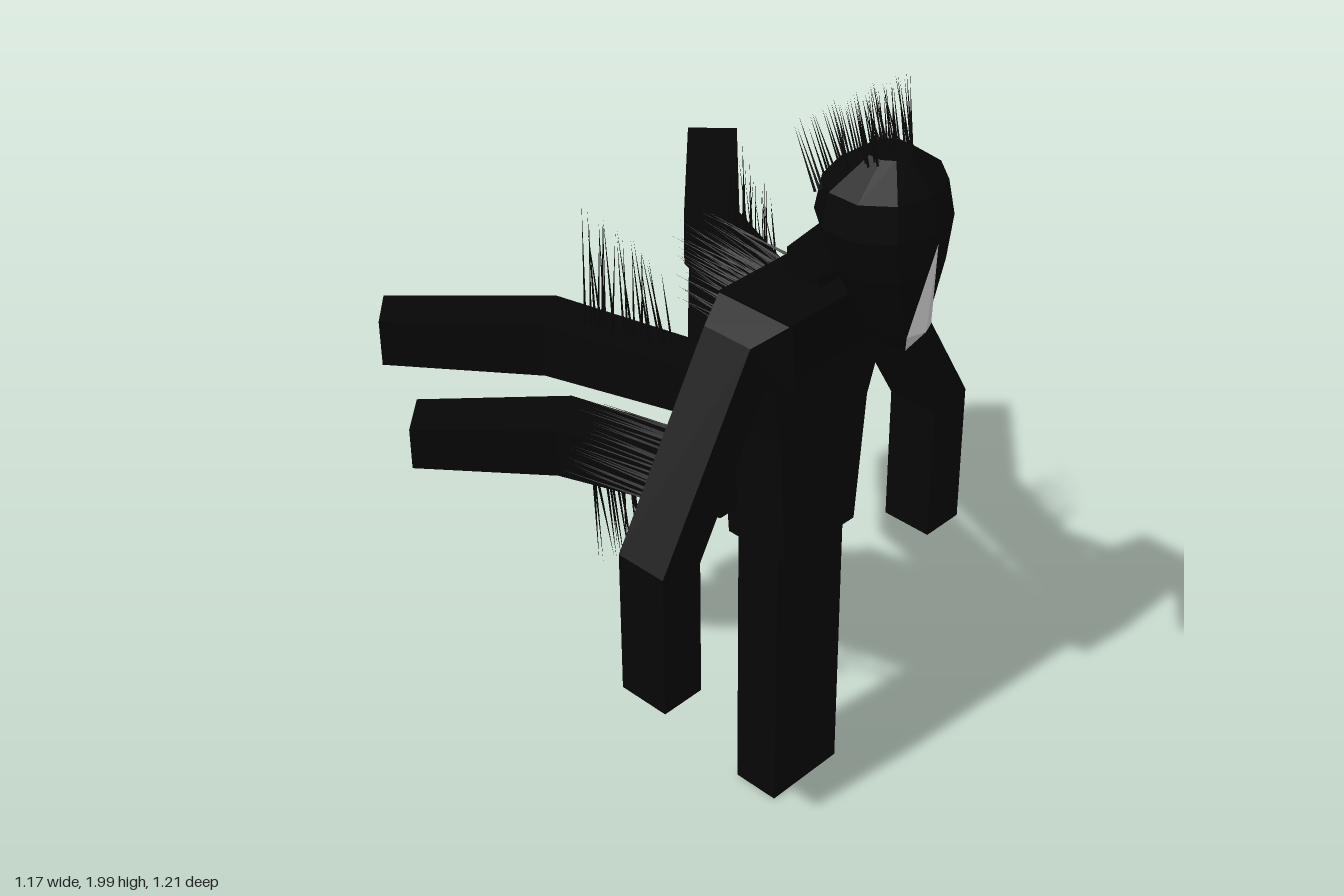
import * as THREE from 'three';
import { mergeGeometries } from 'three/addons/utils/BufferGeometryUtils.js';

const black = new THREE.MeshStandardMaterial({ color: 0x060606, flatShading: true });
const grey = new THREE.MeshStandardMaterial({ color: 0xcccccc, flatShading: true, side: THREE.DoubleSide });

let seed = 7;
const rand = () => (seed = (seed * 16807) % 2147483647) / 2147483647;
const jitter = (r) => (rand() * 2 - 1) * r;

// Closed solid through rings of equal point count; faces are turned outwards.
function loft(rings) {
  const n = rings[0].length;
  const p = rings.flat().map((c) => new THREE.Vector3(...c));
  const tris = [];
  for (let r = 0; r < rings.length - 1; r++) {
    for (let i = 0; i < n; i++) {
      const a = r * n + i, b = r * n + (i + 1) % n;
      tris.push([a, b, b + n], [a, b + n, a + n]);
    }
  }
  const last = (rings.length - 1) * n;
  for (let i = 1; i < n - 1; i++) {
    tris.push([0, i + 1, i], [last, last + i, last + i + 1]);
  }
  let volume = 0;
  for (const [a, b, c] of tris) volume += p[a].dot(p[b].clone().cross(p[c]));
  if (volume < 0) tris.forEach((t) => t.reverse());
  const g = new THREE.BufferGeometry().setFromPoints(tris.flat().map((i) => p[i]));
  g.computeVertexNormals();
  return g;
}

// Row of thin spikes: bases run from a to b, tips from c to d.
function spikes(a, b, c, d, count, spread) {
  const [va, vb, vc, vd] = [a, b, c, d].map((v) => new THREE.Vector3(...v));
  const parts = [];
  for (let i = 0; i < count; i++) {
    const t = i / (count - 1);
    const base = va.clone().lerp(vb, t).add(new THREE.Vector3(jitter(spread), 0, jitter(spread / 2)));
    const tip = vc.clone().lerp(vd, t).add(new THREE.Vector3(jitter(spread), 0, jitter(spread)));
    const dir = tip.sub(base).multiplyScalar(0.8 + 0.2 * rand());
    const len = dir.length();
    const g = new THREE.ConeGeometry(0.004, len, 4).translate(0, len / 2, 0);
    g.applyQuaternion(new THREE.Quaternion().setFromUnitVectors(new THREE.Vector3(0, 1, 0), dir.normalize()));
    parts.push(g.translate(base.x, base.y, base.z));
  }
  return mergeGeometries(parts);
}

export function createModel() {
  const model = new THREE.Group();
  const add = (name, geometry, material = black) => {
    const mesh = new THREE.Mesh(geometry, material);
    mesh.name = name;
    model.add(mesh);
  };

  // Lower body and torso
  add('lowerBody', new THREE.BoxGeometry(0.225, 0.8, 0.125).translate(0.003, 0.4, 0.218));
  const slab = ([y, w, front, back]) => [[-w, y, front], [w, y, front], [w, y, back], [-w, y, back]];
  add('torso', loft([
    [0.76, 0.12, 0.31, 0.135], [1.1, 0.145, 0.315, 0.135],
    [1.27, 0.18, 0.33, 0.145], [1.455, 0.185, 0.375, 0.165],
  ].map(slab)));

  // Bent neck: back and front edge of each section
  add('neck', loft([
    [1.43, 0.22, 1.43, 0.32], [1.52, 0.22, 1.48, 0.31],
    [1.64, 0.335, 1.55, 0.40], [1.7, 0.40, 1.6, 0.47],
  ].map(([yb, zb, yf, zf]) => [[-0.03, yb, zb], [0.07, yb, zb], [0.07, yf, zf], [-0.03, yf, zf]])));

  // Faceted head tapering to the chin: height, half width, front, back
  add('head', loft([
    [1.39, 0.025, 0.535, 0.48], [1.45, 0.07, 0.57, 0.445], [1.59, 0.128, 0.592, 0.355],
    [1.69, 0.153, 0.6, 0.32], [1.77, 0.138, 0.585, 0.335], [1.835, 0.05, 0.52, 0.42],
  ].map(([y, w, front, back]) => Array.from({ length: 10 }, (_, i) => {
    const a = i * Math.PI / 5;
    return [w * Math.sin(a), y, (front + back) / 2 + (front - back) / 2 * Math.cos(a)];
  }))));

  // Narrow kite-shaped face plate with a raised ridge
  const [top, left, right, ridge, chin] = [
    [0, 1.67, 0.606], [0.04, 1.445, 0.568], [-0.04, 1.445, 0.568], [0, 1.45, 0.587], [-0.01, 1.388, 0.542],
  ];
  const plate = new THREE.BufferGeometry();
  plate.setAttribute('position', new THREE.Float32BufferAttribute(
    [top, right, ridge, top, ridge, left, right, chin, ridge, ridge, chin, left].flat(), 3));
  plate.computeVertexNormals();
  add('facePlate', plate, grey);

  // Back limbs: inner and outer edge in plan, bottom and top in height
  const limb = (s, sections) => loft(sections.map(([xi, zi, xo, zo, y0, y1]) => [
    [s * xi, y0, zi], [s * xo, y0, zo], [s * xo, y1, zo], [s * xi, y1, zi],
  ]));
  add('leftUpperBackLimb', limb(1, [
    [0.07, 0.17, 0.185, 0.17, 1.11, 1.23], [0.21, -0.33, 0.32, -0.25, 1.15, 1.28], [0.50, -0.6, 0.585, -0.51, 1.2, 1.315]]));
  add('rightUpperBackLimb', limb(-1, [
    [0.07, 0.17, 0.185, 0.17, 1.11, 1.23], [0.21, -0.33, 0.32, -0.255, 1.11, 1.245], [0.505, -0.59, 0.585, -0.51, 1.15, 1.265]]));
  add('leftLowerBackLimb', limb(1, [
    [0.07, 0.17, 0.185, 0.17, 0.85, 0.975], [0.21, -0.32, 0.315, -0.25, 0.83, 0.965], [0.475, -0.575, 0.56, -0.495, 0.85, 0.975]]));
  add('rightLowerBackLimb', limb(-1, [
    [0.07, 0.17, 0.185, 0.17, 0.85, 0.975], [0.175, -0.33, 0.3, -0.25, 0.82, 0.95], [0.44, -0.585, 0.535, -0.5, 0.84, 0.95]]));

  for (const s of [1, -1]) {
    const side = s > 0 ? 'left' : 'right';
    const m = ([x, y, z]) => [s * x, y, z];
    const row = (name, a, b, c, d, count, spread) =>
      add(side + name, spikes(m(a), m(b), m(c), m(d), count, spread));

    // Arm: outer and inner edge of shoulder, upper arm, elbow and wrist
    add(side + 'Arm', loft([
      [0.18, 1.455, 0.165, 1.26, 0.375, 0.165], [0.245, 1.4, 0.195, 1.28, 0.315, 0.18],
      [0.515, 0.935, 0.4, 0.92, 0.315, 0.18], [0.515, 0.557, 0.4, 0.557, 0.315, 0.18],
    ].map(([xo, yo, xi, yi, front, back]) => [
      m([xo, yo, front]), m([xo, yo, back]), m([xi, yi, back]), m([xi, yi, front])])));

    // Spikes on head, back, arm and back limbs
    row('HeadSpikes', [0.055, 1.8, 0.49], [0.1, 1.74, 0.36], [0.06, 2, 0.46], [0.105, 1.88, 0.29], 18, 0.01);
    row('BackSpikes', [0.04, 1.25, 0.16], [0.045, 1.44, 0.175], [0.045, 1.27, -0.09], [0.05, 1.47, -0.11], 32, 0.025);
    add(side + 'ArmSpikes', spikes(m([0.41, 1.02, 0.19]), m([0.32, 1.17, 0.19]),
      [s * 0.41 - 0.025, 1.0, -0.08], [s * 0.32 - 0.025, 1.14, -0.1], 24, 0.012));
    row('UpperLimbSpikes', [0.18, 1.22, 0], [0.245, 1.24, -0.2], [0.19, 1.48, -0.03], [0.235, 1.56, -0.21], 22, 0.018);
    row('LowerLimbSpikes', [0.175, 0.86, -0.01], [0.235, 0.86, -0.2], [0.185, 0.56, 0.05], [0.225, 0.56, -0.18], 22, 0.018);
  }
  add('crestSpikes', spikes([0, 1.82, 0.48], [0, 1.74, 0.35], [0, 2, 0.46], [0, 1.88, 0.28], 18, 0.003));

  return model;
}
